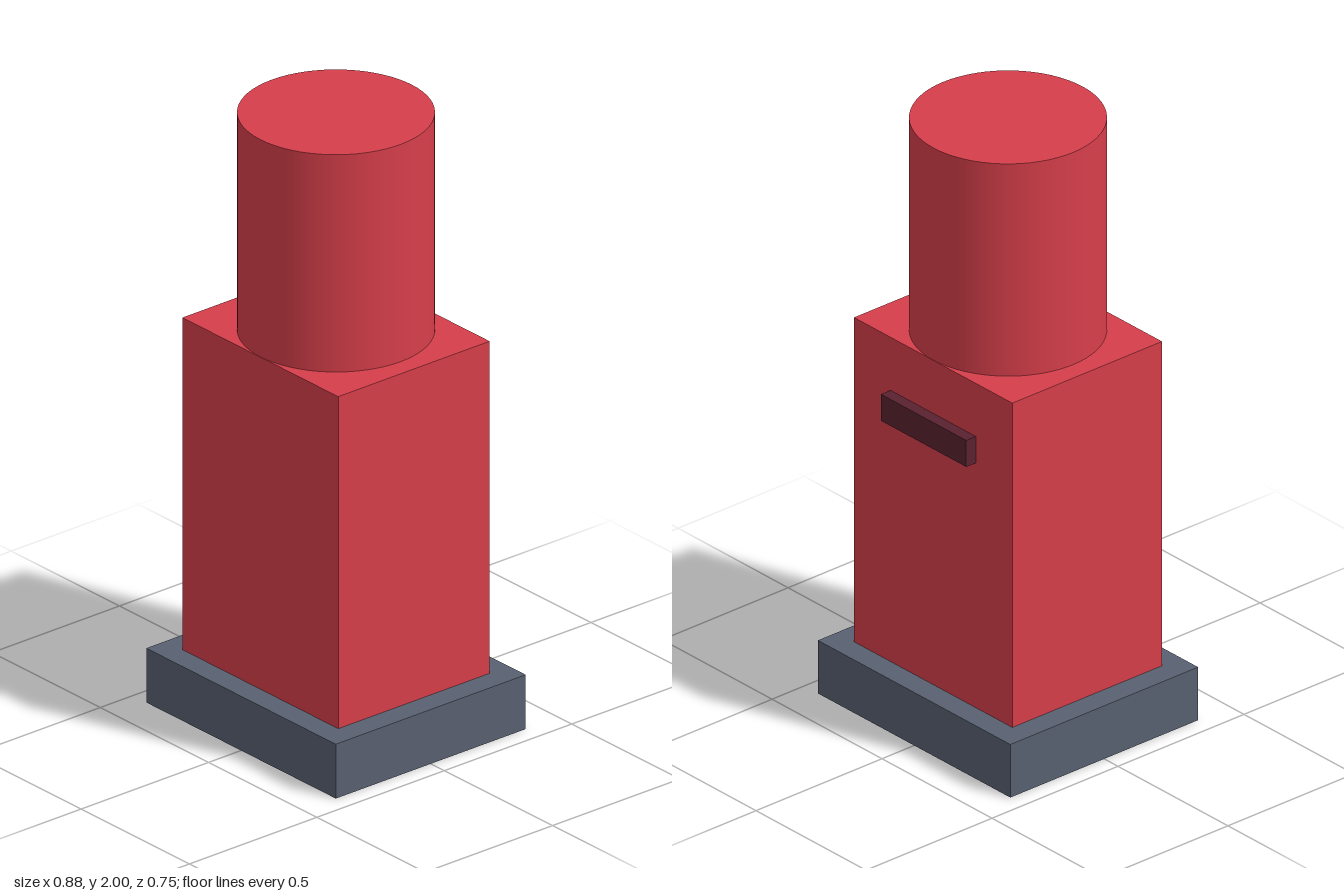
import * as THREE from 'three';

export function createModel() {
  const model = new THREE.Group();
  model.name = 'pillarBox';

  const material = (name, color) => {
    const m = new THREE.MeshStandardMaterial({ color });
    m.name = name;
    return m;
  };
  const red = material('red', 0xd63e4a);
  const slate = material('slate', 0x586070);
  const maroon = material('dark maroon', 0x5a2230);

  const add = (name, geometry, mat, y, z = 0) => {
    const mesh = new THREE.Mesh(geometry, mat);
    mesh.name = name;
    mesh.position.set(0, y, z);
    model.add(mesh);
  };

  // Plinth
  add('base', new THREE.BoxGeometry(0.875, 0.18, 0.745), slate, 0.09);
  // Square body
  add('body', new THREE.BoxGeometry(0.72, 1.1, 0.594), red, 0.73);
  // Round upper column, as wide as the body is deep
  add('column', new THREE.CylinderGeometry(0.296, 0.296, 0.72, 64), red, 1.64);
  // Raised bar on the back
  add('slot', new THREE.BoxGeometry(0.388, 0.09, 0.06), maroon, 1.055, -0.305);

  return model;
}
